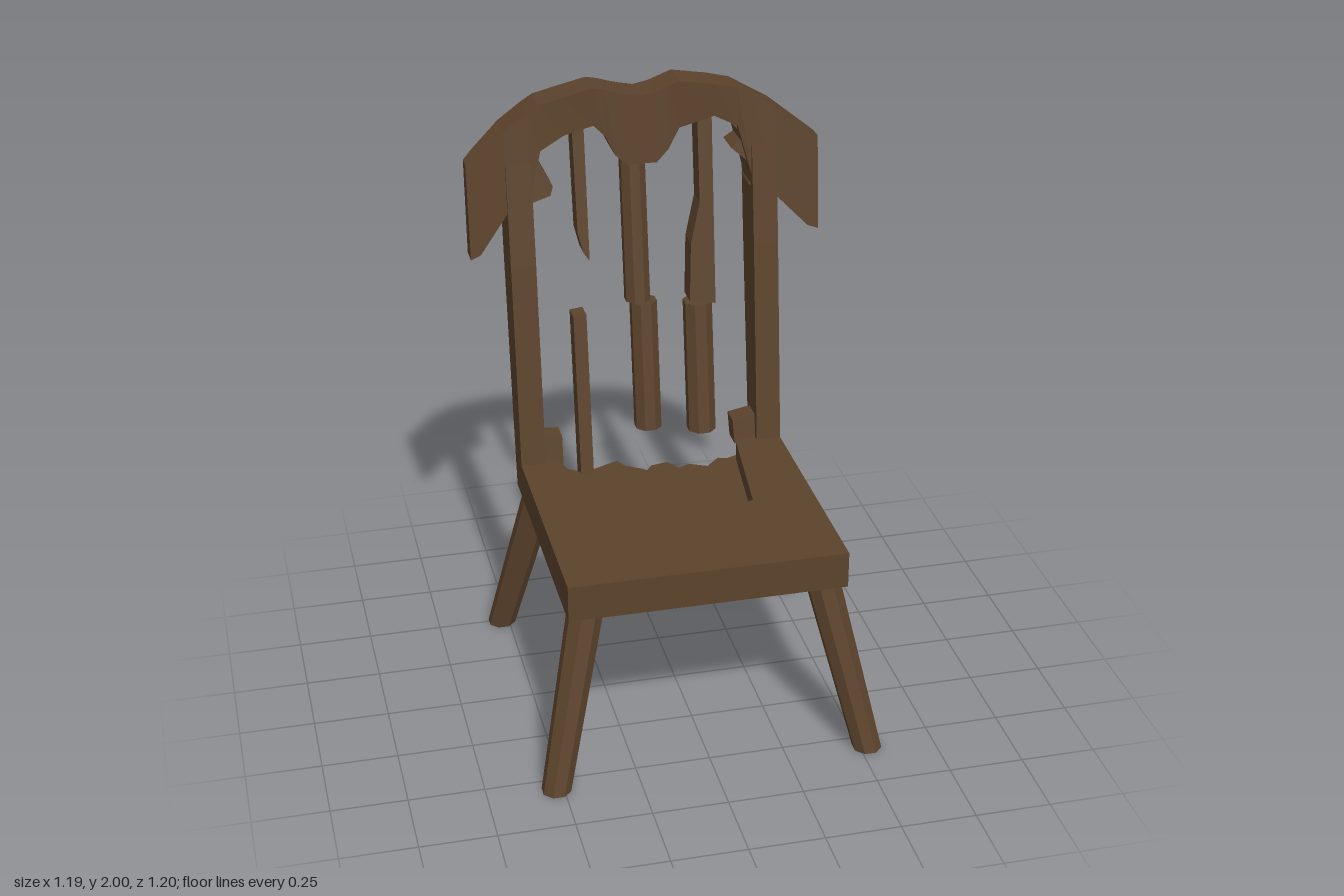
import * as THREE from 'three';

const wood = new THREE.MeshStandardMaterial({ color: 0x5c432c, flatShading: true, side: THREE.DoubleSide });

function part(group, name, geometry) {
  const mesh = new THREE.Mesh(geometry, wood);
  mesh.name = name;
  group.add(mesh);
  return mesh;
}

// Flat outline pulled to a thickness, centred on z = 0
function slab(points, depth) {
  const shape = new THREE.Shape(points.map(([x, y]) => new THREE.Vector2(x, y)));
  return new THREE.ExtrudeGeometry(shape, { depth, bevelEnabled: false }).translate(0, 0, -depth / 2);
}

// Horizontal layer from an outline in x, z
function layer(points, y0, y1) {
  return slab(points.map(([x, z]) => [x, -z]), y1 - y0).rotateX(-Math.PI / 2).translate(0, (y0 + y1) / 2, 0);
}

// Move each vertex by a rule
function bend(geometry, rule) {
  const p = geometry.attributes.position;
  const v = new THREE.Vector3();
  for (let i = 0; i < p.count; i++) {
    rule(v.fromBufferAttribute(p, i));
    p.setXYZ(i, v.x, v.y, v.z);
  }
  geometry.computeVertexNormals();
  return geometry;
}

// Lean of the chair back
const lean = (g) => bend(g, (v) => { v.z += -0.4 - (v.y - 0.8) * 0.145; });

// Solid through four-cornered rings, with closed ends
function loft(rings) {
  const index = [];
  const last = (rings.length - 1) * 4;
  for (let r = 0; r < last; r += 4) {
    for (let k = 0; k < 4; k++) {
      const a = r + k, b = r + (k + 1) % 4;
      index.push(a, b, a + 4, b, b + 4, a + 4);
    }
  }
  index.push(0, 2, 1, 0, 3, 2, last, last + 1, last + 2, last, last + 2, last + 3);
  const g = new THREE.BufferGeometry();
  g.setAttribute('position', new THREE.Float32BufferAttribute(rings.flat(2), 3));
  g.setIndex(index);
  const flat = g.toNonIndexed();
  flat.computeVertexNormals();
  return flat;
}

export function createModel() {
  const chair = new THREE.Group();
  chair.name = 'brokenChair';

  // Seat: lower layer with a ragged back edge, upper layer with a broken-out bay
  const ragged = [
    [0.46, -0.43], [0.37, -0.43], [0.32, -0.36], [0.27, -0.34], [0.24, -0.35], [0.19, -0.3], [0.13, -0.33],
    [0.09, -0.31], [0.06, -0.36], [0, -0.35], [-0.02, -0.32], [-0.09, -0.37], [-0.11, -0.41], [-0.2, -0.37],
    [-0.22, -0.32], [-0.25, -0.36], [-0.31, -0.41], [-0.38, -0.43], [-0.46, -0.43],
  ];
  part(chair, 'seatBottom', layer([[-0.46, 0.49], [0.46, 0.49], ...ragged], 0.59, 0.65));
  part(chair, 'seatTop', layer([
    [-0.46, 0.49], [0.46, 0.49], [0.46, -0.43], [0.37, -0.43], [0.3, -0.33], [0.25, 0.08], [0.11, 0.13],
    [-0.11, 0.035], [-0.27, 0], [-0.28, -0.17], [-0.34, -0.38], [-0.38, -0.43], [-0.46, -0.43],
  ], 0.65, 0.715));

  // Splayed legs with level feet
  for (const sx of [-1, 1]) {
    for (const [name, z0, z1] of [['frontLeg', 0.42, 0.555], ['backLeg', -0.36, -0.495]]) {
      const g = new THREE.CylinderGeometry(0.06, 0.049, 0.6, 8).rotateY(Math.PI / 8).translate(0, 0.3, 0);
      bend(g, (v) => {
        const t = v.y / 0.6;
        v.x += sx * (0.525 - 0.135 * t);
        v.z += z1 + (z0 - z1) * t;
      });
      part(chair, name, g);
    }
  }

  // Back posts, deeper towards the top
  for (const sx of [-1, 1]) {
    const ring = (y, front, back) => [[-0.0425, y, front], [0.0425, y, front], [0.0425, y, back], [-0.0425, y, back]];
    const post = part(chair, 'backPost', loft([
      ring(0.59, -0.32, -0.43), ring(0.71, -0.33, -0.45), ring(1.42, -0.41, -0.555), ring(1.76, -0.455, -0.598),
    ]));
    post.position.x = sx * 0.4175;
  }

  // Splinters at the foot and head of the posts
  part(chair, 'rightFootSplinter', lean(slab([[-0.38, 0.66], [-0.31, 0.69], [-0.31, 0.795], [-0.38, 0.8]], 0.07)));
  part(chair, 'leftFootSplinter', lean(slab([[0.38, 0.66], [0.3, 0.7], [0.295, 0.785], [0.38, 0.8]], 0.07)));
  part(chair, 'rightHeadSplinter', lean(slab([
    [-0.4, 1.6], [-0.375, 1.62], [-0.31, 1.64], [-0.3, 1.67], [-0.35, 1.77], [-0.33, 1.84], [-0.42, 1.84],
  ], 0.1)));
  part(chair, 'leftHeadSplinter', lean(slab([
    [0.4, 1.6], [0.37, 1.62], [0.4, 1.67], [0.31, 1.75], [0.36, 1.78], [0.29, 1.86], [0.42, 1.86],
  ], 0.1)));

  // Crest rail: columns of x, top, bottom; the ends curve forward
  const columns = [
    [-0.595, 1.79, 1.47], [-0.56, 1.815, 1.48], [-0.46, 1.875, 1.6], [-0.38, 1.93, 1.64], [-0.34, 1.955, 1.8],
    [-0.26, 1.975, 1.845], [-0.16, 1.998, 1.87], [-0.12, 1.99, 1.83], [-0.09, 1.98, 1.765], [-0.05, 1.97, 1.73],
    [0, 1.96, 1.73], [0.05, 1.97, 1.73], [0.09, 1.985, 1.77], [0.13, 2, 1.84], [0.25, 1.98, 1.87],
    [0.33, 1.96, 1.83], [0.38, 1.93, 1.64], [0.46, 1.885, 1.58], [0.56, 1.815, 1.48], [0.595, 1.79, 1.47],
  ];
  part(chair, 'crestRail', loft(columns.map(([x, top, bottom]) => {
    const t = Math.max(0, Math.abs(x) - 0.45) / 0.145;
    const front = (y) => -0.48 + 0.12 * Math.max(0, 1.88 - y) + 0.04 * t;
    const back = -0.6 + 0.12 * t;
    return [[x, bottom, front(bottom)], [x, top, front(top)], [x, top, back], [x, bottom, back + 0.02 * t]];
  })));

  // Snapped round spindles
  const spindle = (name, x, y0, y1, r) => part(chair, name, lean(
    new THREE.CylinderGeometry(r, r, y1 - y0, 8).rotateY(Math.PI / 8).translate(x, (y0 + y1) / 2, 0)));
  spindle('middleSpindleLower', 0, 0.785, 1.235, 0.048);
  spindle('middleSpindleUpper', -0.02, 1.24, 1.8, 0.045);
  spindle('leftSpindleLower', 0.19, 0.755, 1.215, 0.051);

  // Slivers left of the split spindles
  part(chair, 'leftSpindleUpper', lean(slab([
    [0.155, 1.23], [0.245, 1.215], [0.25, 1.88], [0.2, 1.88], [0.2, 1.57], [0.165, 1.43],
  ], 0.08)));
  part(chair, 'rightSpindleLower', lean(slab([[-0.25, 0.62], [-0.205, 0.62], [-0.205, 1.215], [-0.25, 1.21]], 0.07)));
  part(chair, 'rightSpindleUpper', lean(slab([
    [-0.185, 1.4], [-0.185, 1.89], [-0.225, 1.89], [-0.222, 1.5], [-0.205, 1.43],
  ], 0.07)));

  return chair;
}
